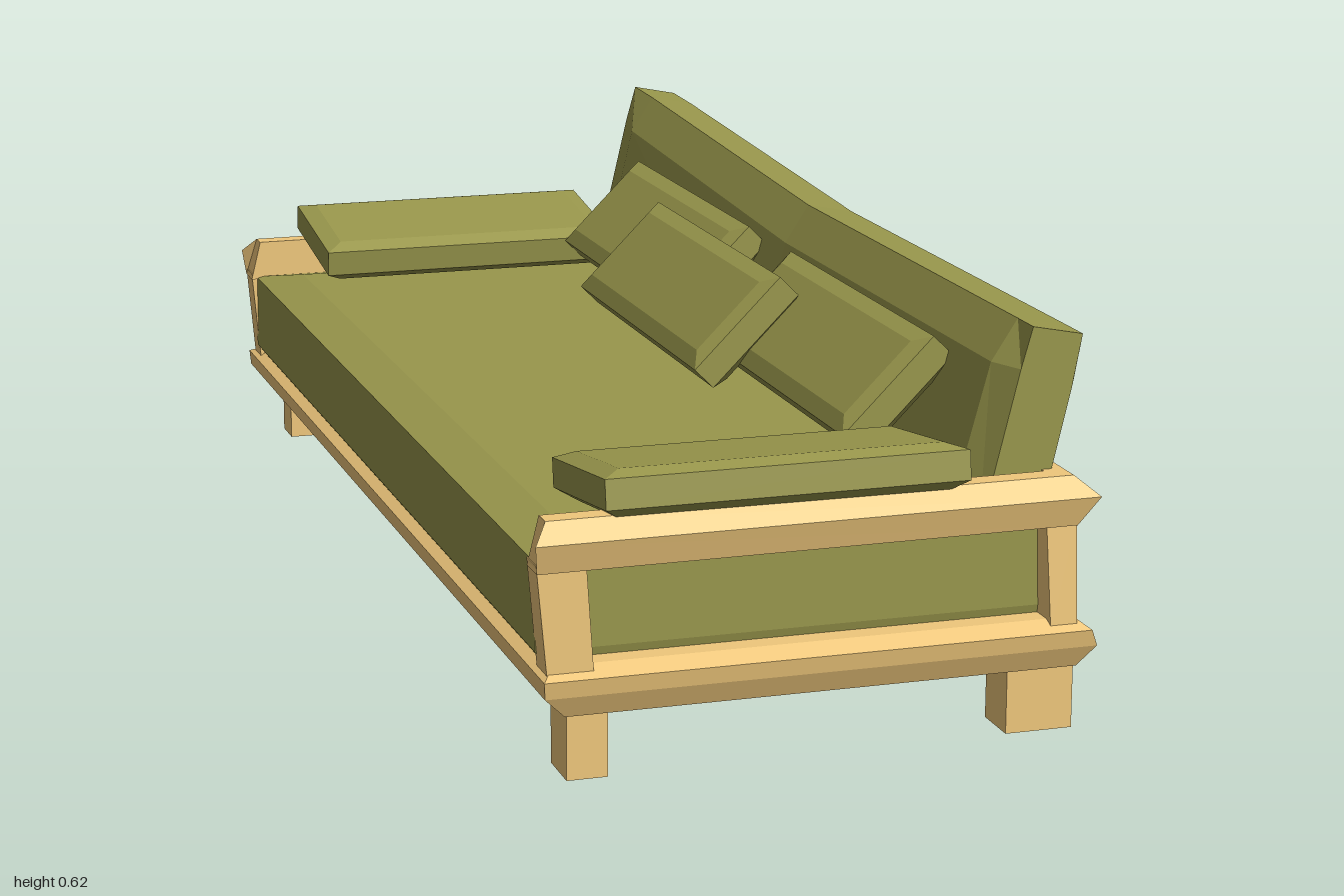
import * as THREE from 'three';

const wood = new THREE.MeshStandardMaterial({ color: 0xf0c87c, flatShading: true });
const fabric = new THREE.MeshStandardMaterial({ color: 0x99974c, flatShading: true });

// Skins matching rings of [x, y, z] points and caps both ends
function loft(name, rings, material) {
  const pos = [];
  const tri = (a, b, c) => pos.push(...a, ...b, ...c);
  const n = rings[0].length;
  for (let k = 0; k < rings.length - 1; k++) {
    for (let i = 0; i < n; i++) {
      const j = (i + 1) % n;
      tri(rings[k][i], rings[k][j], rings[k + 1][j]);
      tri(rings[k][i], rings[k + 1][j], rings[k + 1][i]);
    }
  }
  const first = rings[0], last = rings[rings.length - 1];
  for (let i = 1; i < n - 1; i++) {
    tri(first[0], first[i + 1], first[i]);
    tri(last[0], last[i], last[i + 1]);
  }
  const geo = new THREE.BufferGeometry();
  geo.setAttribute('position', new THREE.Float32BufferAttribute(pos, 3));
  geo.computeVertexNormals();
  const mesh = new THREE.Mesh(geo, material);
  mesh.name = name;
  return mesh;
}

// Horizontal rectangle used as a ring
const rect = (y, x0, x1, z0, z1) => [[x1, y, z1], [x1, y, z0], [x0, y, z0], [x0, y, z1]];

// Slab with bevelled upper and lower faces, centred on its origin
function cushion(name, w, h, d, bevel) {
  const ring = (y, s) => rect(y, -w / 2 + s, w / 2 - s, -d / 2 + s, d / 2 - s);
  return loft(name, [
    ring(-h / 2, bevel), ring(-h * 0.25, 0), ring(h * 0.36, 0), ring(h / 2, bevel),
  ], fabric);
}

export function createModel() {
  const sofa = new THREE.Group();
  sofa.name = 'sofa';

  // Base with pointed rim, steeper at the two ends
  sofa.add(loft('baseFrame', [
    rect(0.093, -0.37, 0.38, -0.98, 0.97),
    rect(0.125, -0.402, 0.405, -0.997, 0.985),
    rect(0.15, -0.404, 0.395, -1, 0.99),
    rect(0.163, -0.385, 0.378, -0.965, 0.96),
  ], wood));

  // Upper rail around three sides, mitred; profile: [inset at back, inset at arms, y, inset at open ends]
  const profile = [
    [0.03, 0.012, 0.3, 0.005], [0.062, 0.062, 0.3, 0.005], [0.062, 0.062, 0.368, 0.022],
    [0.03, 0.03, 0.368, 0.022], [0, 0, 0.342, 0],
  ];
  const path = [
    [-0.416, 0.992, 0, 1], [0.405, 0.985, 1, 1],
    [0.405, -1, 1, -1], [-0.416, -0.987, 0, -1],
  ];
  sofa.add(loft('upperRail', path.map(([x, z, nx, nz]) =>
    profile.map(([ox, oz, y, end]) => [x + (nx ? -ox : end), y, z - nz * oz])), wood));

  // Posts at each corner
  for (const s of [1, -1]) {
    const zs = (a, b) => (s > 0 ? [a - 0.005, b - 0.005] : [-b, -a]);
    sofa.add(loft('frontPost', [
      rect(0.15, -0.396, -0.33, ...zs(0.93, 0.98)),
      rect(0.31, -0.41, -0.34, ...zs(0.93, 0.978)),
    ], wood));
    sofa.add(loft('backPost', [
      rect(0.15, 0.338, 0.378, ...zs(0.925, 0.98)),
      rect(0.31, 0.332, 0.378, ...zs(0.925, 0.968)),
    ], wood));
  }

  // Short block legs: [x0, x1, z0, z1]
  const legs = [
    [-0.367, -0.308, 0.89, 0.967], [0.278, 0.378, 0.89, 0.965],
    [-0.345, -0.285, -0.985, -0.92], [0.298, 0.378, -0.985, -0.92],
  ];
  for (const leg of legs) sofa.add(loft('leg', [rect(0, ...leg), rect(0.1, ...leg)], wood));

  // Mattress with a slightly crowned top
  sofa.add(loft('seat', [
    rect(0.155, -0.385, 0.35, -0.93, 0.925),
    rect(0.175, -0.4, 0.355, -0.94, 0.93),
    rect(0.302, -0.4, 0.355, -0.94, 0.93),
    rect(0.318, -0.33, 0.33, -0.86, 0.86),
  ], fabric));

  // Leaning backrest, puffed between its ends: [z, top height, back ridge height, puff]
  const stations = [
    [-0.945, 0.615, 0.53, 0], [-0.84, 0.612, 0.53, 1], [0, 0.572, 0.458, 1],
    [0.86, 0.575, 0.48, 1], [0.915, 0.575, 0.48, 0],
  ];
  sofa.add(loft('backrest', stations.map(([z, h, ridge, p]) => {
    const foot = z < -0.9 ? z - 0.02 : z;
    return [
      [0.338, 0.28, foot], [0.385 + 0.028 * p, ridge, z], [0.4, h - 0.015, z],
      [0.325, h, z], [0.308 - 0.022 * p, h - 0.06, z], [0.25 - 0.028 * p, 0.28, foot],
    ];
  }), fabric));

  // Flat pillows sloping inwards from the arms
  for (const [z, tilt] of [[0.85, -0.14], [-0.842, 0.14]]) {
    const pillow = cushion('armPillow', 0.525, 0.07, 0.258, 0.028);
    pillow.position.set(-0.052, 0.38, z);
    pillow.rotation.x = tilt;
    sofa.add(pillow);
  }

  // Loose cushions leaning against the backrest: [x, z, length]
  for (const [x, z, length] of [[0.127, -0.03, 0.62], [0.207, -0.405, 0.61], [0.207, 0.41, 0.61]]) {
    const loose = cushion('looseCushion', 0.195, 0.07, length, 0.026);
    loose.position.set(x, 0.434, z);
    loose.rotation.z = Math.PI / 4;
    sofa.add(loose);
  }

  return sofa;
}
